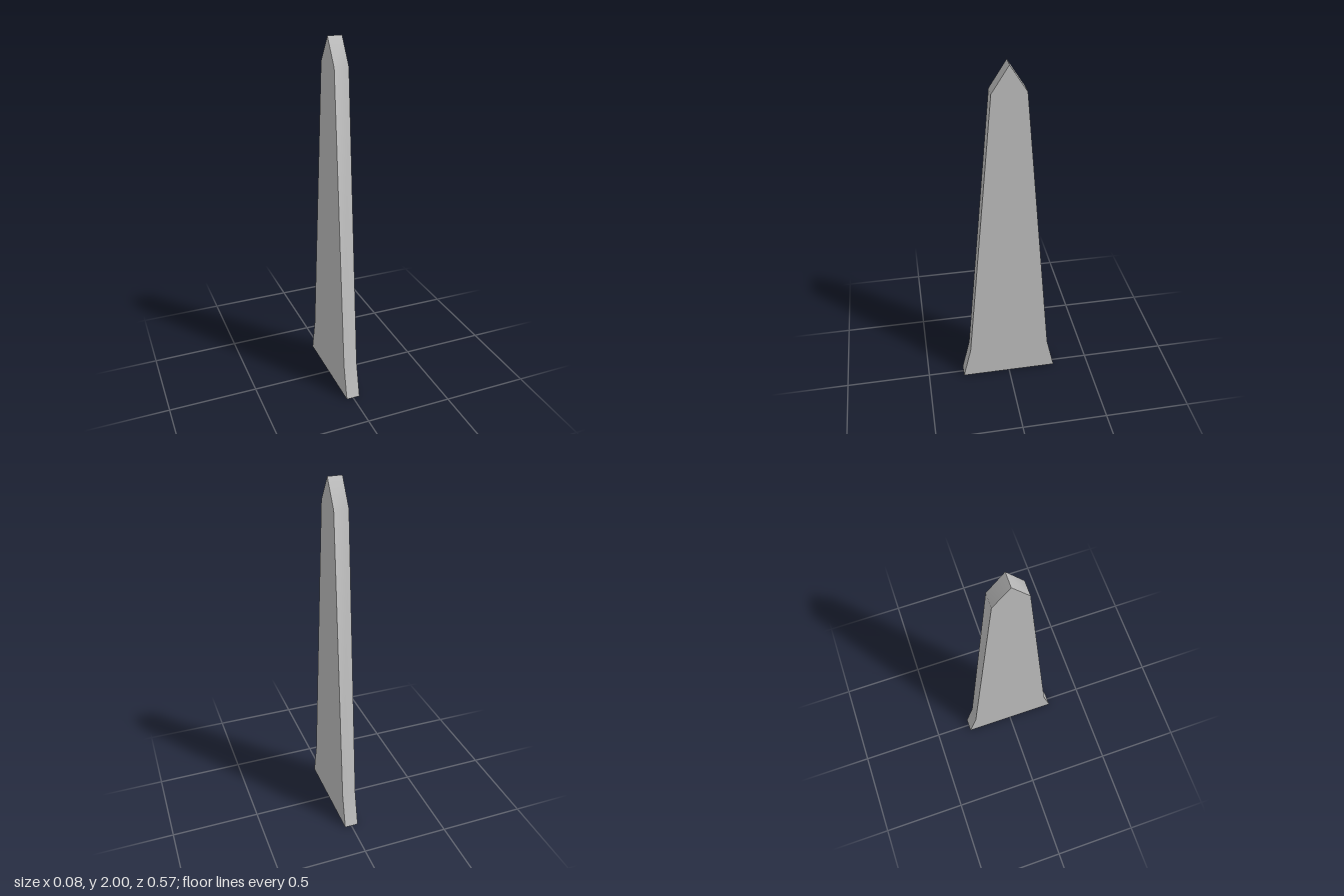
import * as THREE from 'three';
import { toCreasedNormals } from 'three/addons/utils/BufferGeometryUtils.js';

export function createModel() {
  const group = new THREE.Group();
  group.name = 'taperedSlab';

  const grey = new THREE.MeshStandardMaterial({ color: 0xc0c0c0 });
  grey.name = 'light grey';

  // Half outline as [half width, height], mirrored to make the pointed slab
  const half = [[0.285, 0], [0.238, 0.205], [0.09, 1.86]];
  const outline = [
    ...half,
    [0, 2],
    ...half.map(([w, y]) => [-w, y]).reverse(),
  ].map(([w, y]) => new THREE.Vector2(w, y));

  // Extrude across the thickness, then turn the broad faces toward +x and -x
  const thickness = 0.078;
  const slab = new THREE.ExtrudeGeometry(new THREE.Shape(outline), {
    depth: thickness,
    bevelEnabled: false,
  });
  slab.translate(0, 0, -thickness / 2);
  slab.rotateY(Math.PI / 2);

  // Narrow edges shade smoothly along their bends; ridge and base stay sharp
  const body = new THREE.Mesh(toCreasedNormals(slab, 0.7), grey);
  body.name = 'slab';
  group.add(body);

  return group;
}
